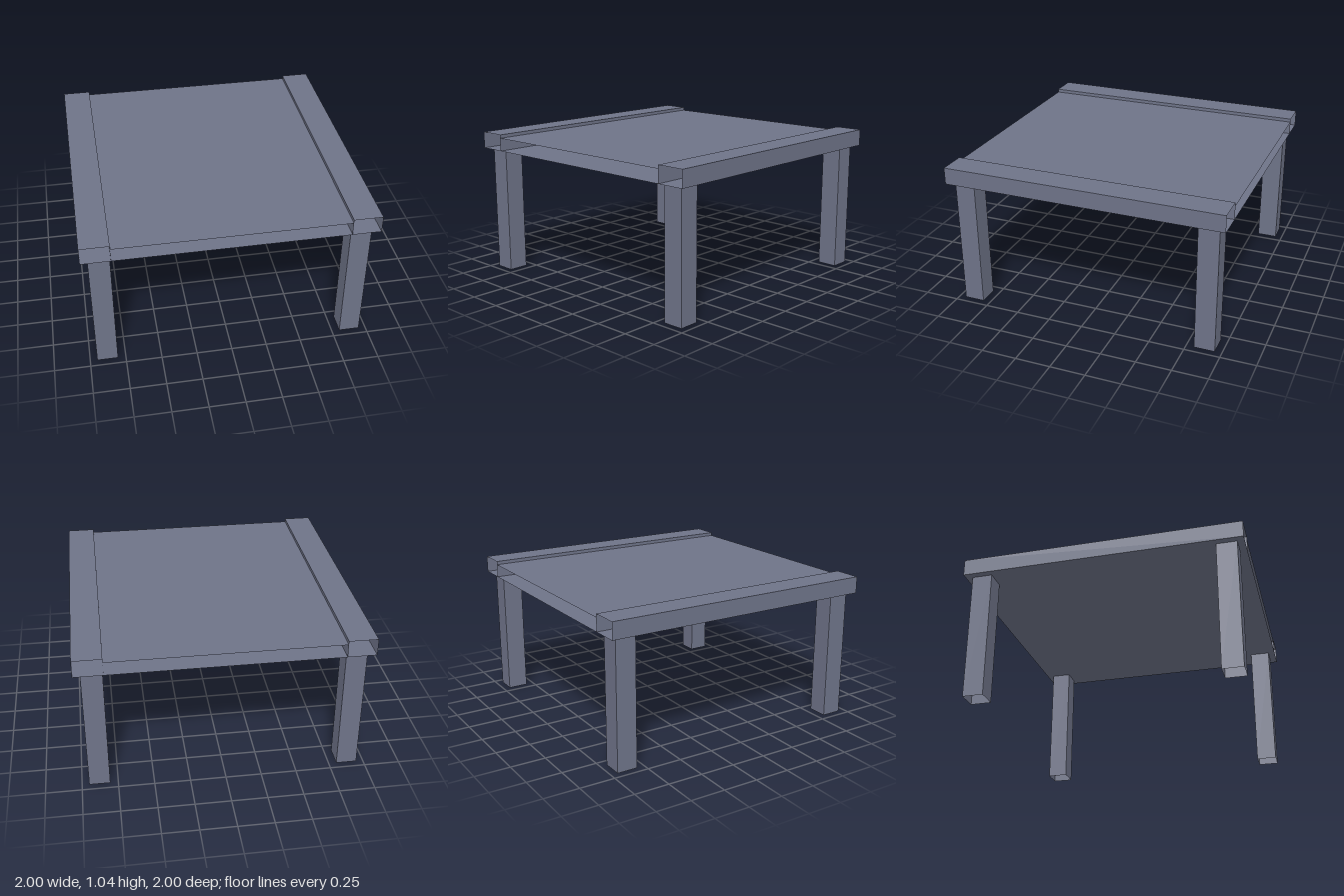
import * as THREE from 'three';

// Rectangular tube open at both ends, running along y
function openTube(width, length, depth) {
  const g = new THREE.CylinderGeometry(Math.SQRT1_2, Math.SQRT1_2, 1, 4, 1, true);
  g.rotateY(Math.PI / 4);
  g.scale(width, length, depth);
  return g;
}

export function createModel() {
  const table = new THREE.Group();
  table.name = 'table';
  const slate = new THREE.MeshStandardMaterial({ color: 0x6e7388, side: THREE.DoubleSide, flatShading: true });
  slate.name = 'slate grey';

  const add = (name, geometry, x, y, z) => {
    const mesh = new THREE.Mesh(geometry, slate);
    mesh.name = name;
    mesh.position.set(x, y, z);
    table.add(mesh);
  };

  const bottom = 0.925, top = 1.045, panelTop = 1.02;
  const railWidth = 0.2, legWidth = 0.145, legCentre = 0.878;

  // Hollow top: raised side rails, open at front and back
  for (const side of [1, -1]) {
    const rail = openTube(railWidth, 2, top - bottom).rotateX(Math.PI / 2);
    add(side > 0 ? 'leftRail' : 'rightRail', rail, side * 0.9, (top + bottom) / 2, 0);
  }

  // Sunken panel and its underside between the rails
  const span = 2 - 2 * railWidth;
  add('topPanel', new THREE.PlaneGeometry(span, 2).rotateX(-Math.PI / 2), 0, panelTop, 0);
  add('underPanel', new THREE.PlaneGeometry(span, 2).rotateX(Math.PI / 2), 0, bottom, 0);

  // Four hollow square legs
  for (const x of [1, -1]) {
    for (const z of [1, -1]) {
      const name = (z > 0 ? 'front' : 'back') + (x > 0 ? 'Left' : 'Right') + 'Leg';
      add(name, openTube(legWidth, bottom, legWidth), x * legCentre, bottom / 2, z * legCentre);
    }
  }
  return table;
}
